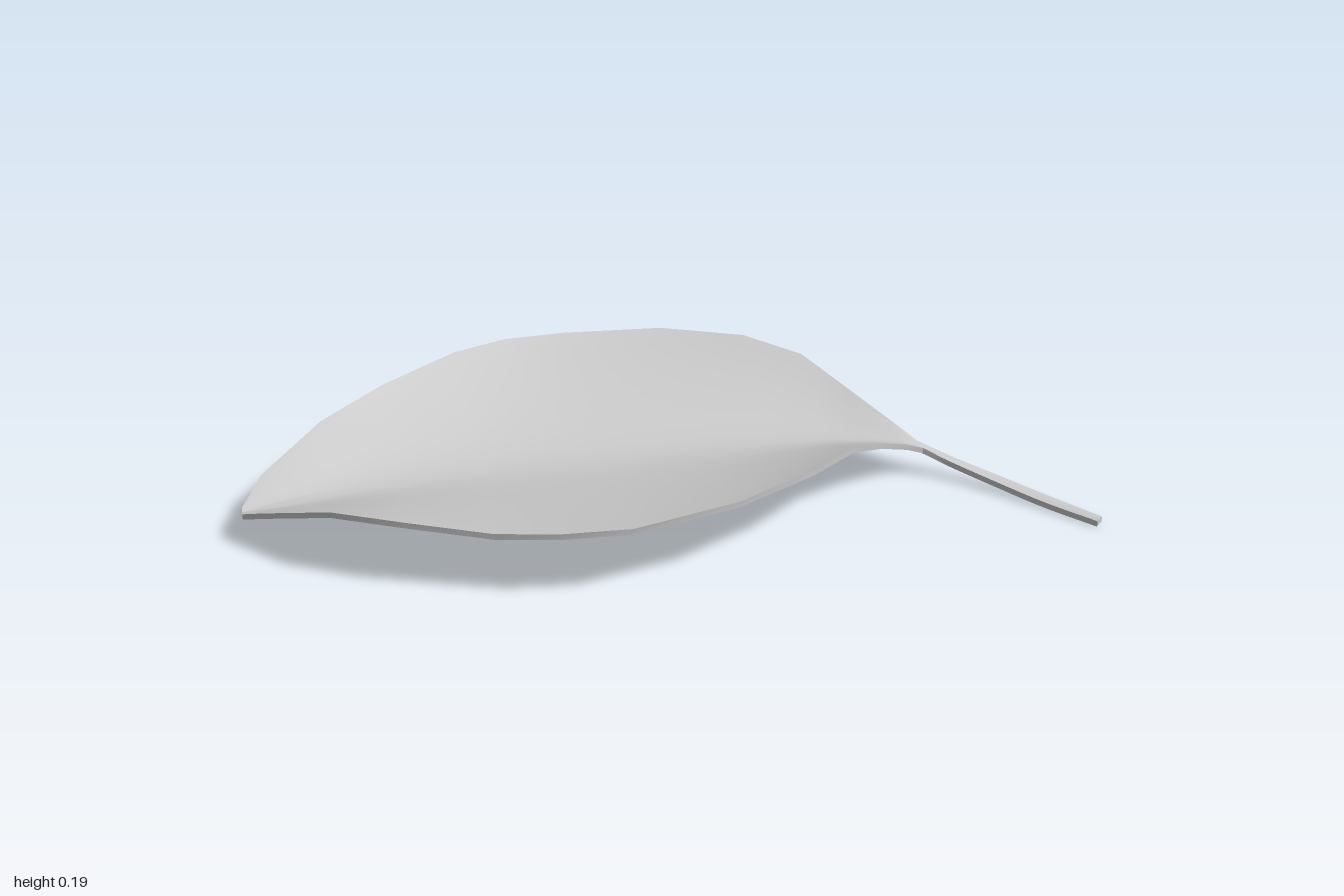
import * as THREE from 'three';
import { toCreasedNormals } from 'three/addons/utils/BufferGeometryUtils.js';

const THICK = 0.015;
const HALF = 8; // columns on each side of the midrib

// Blade stations: x, back edge z, y, midrib z, y, front edge z, y (upper surface)
const BLADE = [
  [-1.00, 0.045, 0.08, 0.06, 0.077, 0.075, 0.08],
  [-0.95, -0.05, 0.105, 0.05, 0.075, 0.12, 0.105],
  [-0.80, -0.18, 0.16, 0.03, 0.075, 0.25, 0.172],
  [-0.64, -0.295, 0.18, 0.015, 0.075, 0.335, 0.178],
  [-0.45, -0.4, 0.195, 0, 0.075, 0.4, 0.165],
  [-0.31, -0.46, 0.188, -0.01, 0.075, 0.45, 0.178],
  [-0.15, -0.475, 0.182, -0.01, 0.075, 0.47, 0.184],
  [0.10, -0.44, 0.188, -0.01, 0.075, 0.42, 0.19],
  [0.30, -0.35, 0.192, 0, 0.075, 0.325, 0.19],
  [0.43, -0.25, 0.175, 0.015, 0.075, 0.22, 0.174],
  [0.52, -0.115, 0.135, 0.035, 0.075, 0.16, 0.138],
  [0.60, 0.01, 0.1, 0.062, 0.075, 0.118, 0.1],
  [0.645, 0.065, 0.075, 0.088, 0.07, 0.11, 0.08],
];

// Valley profile: straight slopes with a rounded bottom
const ROUND = 0.12;
const valley = t => (Math.hypot(t, ROUND) - ROUND) / (Math.hypot(1, ROUND) - ROUND);

// One row of the upper surface from back edge b over midrib m to front edge f
function makeRow(b, m, f) {
  const row = [];
  for (let j = -HALF; j <= HALF; j++) {
    const t = Math.abs(j) / HALF;
    const p = m.clone().lerp(j < 0 ? b : f, t);
    p.y = m.y + ((j < 0 ? b.y : f.y) - m.y) * valley(t);
    row.push(p);
  }
  return row;
}

// Closed shell: each row becomes a ring of upper and lower points
function shell(rows, name) {
  const n = rows[0].length;
  const rings = rows.map(r => [
    ...r,
    ...r.map(p => new THREE.Vector3(p.x, p.y - THICK, p.z)).reverse(),
  ]);
  const pos = [];
  const tri = (...pts) => pts.forEach(p => pos.push(p.x, p.y, p.z));
  for (let i = 0; i < rings.length - 1; i++) {
    for (let j = 0; j < 2 * n; j++) {
      const k = (j + 1) % (2 * n);
      const [a, c] = [rings[i][j], rings[i][k]];
      const [b, d] = [rings[i + 1][j], rings[i + 1][k]];
      tri(a, c, b);
      tri(b, c, d);
    }
  }
  // End caps
  const first = rings[0], last = rings[rings.length - 1];
  for (let j = 0; j < n - 1; j++) {
    const k = 2 * n - 1 - j;
    tri(first[j], first[k], first[j + 1]);
    tri(first[j + 1], first[k], first[k - 1]);
    tri(last[j], last[j + 1], last[k]);
    tri(last[j + 1], last[k - 1], last[k]);
  }
  const geo = new THREE.BufferGeometry();
  geo.setAttribute('position', new THREE.Float32BufferAttribute(pos, 3));
  const mesh = new THREE.Mesh(
    toCreasedNormals(geo, 0.9),
    new THREE.MeshStandardMaterial({ color: 0xcccccc, side: THREE.DoubleSide }),
  );
  mesh.name = name;
  return mesh;
}

export function createModel() {
  const group = new THREE.Group();
  group.name = 'leaf';
  const V = (x, y, z) => new THREE.Vector3(x, y, z);

  // Blade folded along its midrib
  const bladeRows = BLADE.map(([x, bz, by, mz, my, fz, fy]) =>
    makeRow(V(x, by, bz), V(x, my, mz), V(x, fy, fz)));
  group.add(shell(bladeRows, 'blade'));

  // Stem: swept strip between two curved edges, dropping to the ground
  const back = new THREE.CatmullRomCurve3([
    V(0.645, 0.075, 0.065), V(0.72, 0.052, 0.12), V(0.81, 0.032, 0.19),
    V(0.91, 0.021, 0.295), V(0.998, 0.019, 0.4),
  ]);
  const front = new THREE.CatmullRomCurve3([
    V(0.645, 0.08, 0.11), V(0.7, 0.054, 0.136), V(0.788, 0.033, 0.212),
    V(0.885, 0.02, 0.313), V(0.982, 0.016, 0.413),
  ]);
  const stemRows = [];
  for (let i = 0; i <= 14; i++) {
    const b = back.getPoint(i / 14), f = front.getPoint(i / 14);
    const m = b.clone().lerp(f, 0.5);
    m.y += THREE.MathUtils.lerp(-0.0075, 0.002, Math.min(1, i / 4));
    stemRows.push(makeRow(b, m, f));
  }
  group.add(shell(stemRows, 'stem'));
  return group;
}
